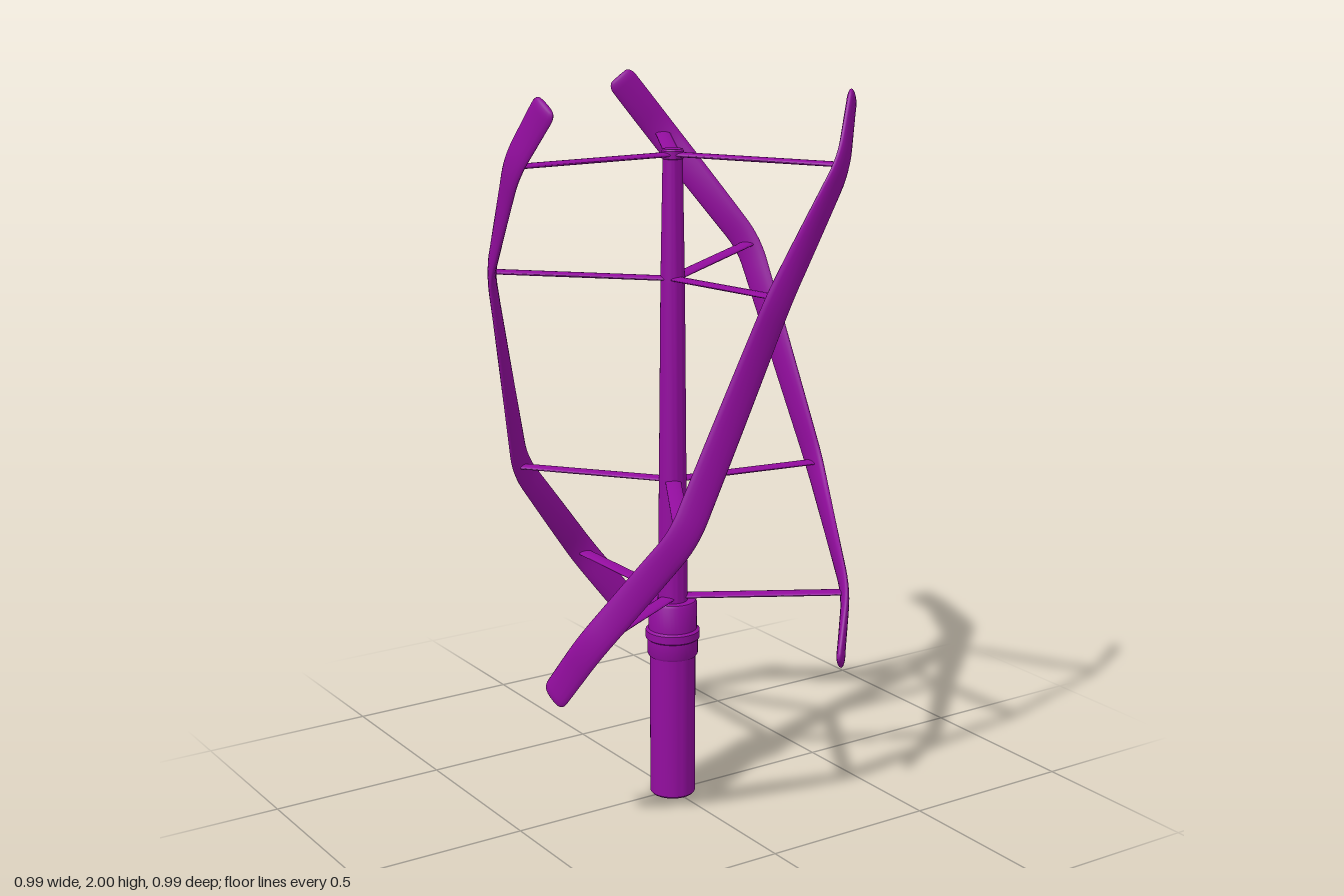
import * as THREE from 'three';
import { toCreasedNormals } from 'three/addons/utils/BufferGeometryUtils.js';

const RADIUS = 0.488;
const SIDES = 16;
// arm levels: height at the blade, height at the mast, blade angle in degrees
const LEVELS = [
  { y: 0.588, hub: 0.588, deg: 150 },
  { y: 0.903, hub: 0.925, deg: 120 },
  { y: 1.51, hub: 1.487, deg: 90 },
  { y: 1.82, hub: 1.82, deg: 60 },
];

const polar = (deg, r, y) => {
  const a = THREE.MathUtils.degToRad(deg);
  return new THREE.Vector3(r * Math.cos(a), y, r * Math.sin(a));
};

// Helical path: straight runs between the arms with softened bends
function bladePath() {
  const corners = [
    polar(165.5, 0.475, 0.418),
    ...LEVELS.map((l) => polar(l.deg, RADIUS, l.y)),
    polar(44.5, 0.475, 1.986),
  ];
  const path = new THREE.CurvePath();
  let from = corners[0];
  for (let i = 1; i < corners.length - 1; i++) {
    const c = corners[i];
    const before = c.clone().add(corners[i - 1].clone().sub(c).setLength(0.06));
    const after = c.clone().add(corners[i + 1].clone().sub(c).setLength(0.06));
    path.add(new THREE.LineCurve3(from, before));
    path.add(new THREE.QuadraticBezierCurve3(before, c, after));
    from = after;
  }
  path.add(new THREE.LineCurve3(from, corners[corners.length - 1]));
  return path;
}

// Flat lens-shaped section swept along the path, rounded off at both tips
function bladeGeometry() {
  const path = bladePath();
  const length = path.getLength();
  const tip = 0.028;
  const stops = [];
  for (let i = 0; i <= 6; i++) stops.push(tip * (1 - Math.cos((i / 6) * Math.PI / 2)));
  const n = 90;
  for (let i = 1; i < n; i++) stops.push(tip + ((length - 2 * tip) * i) / n);
  for (let i = 6; i >= 0; i--) stops.push(length - stops[i]);

  const pos = [];
  const index = [];
  stops.forEach((s, i) => {
    const p = path.getPointAt(s / length);
    const t = path.getTangentAt(Math.min(0.9999, Math.max(0.0001, s / length)));
    const out = new THREE.Vector3(p.x, 0, p.z).normalize();
    const chord = t.clone().cross(out).normalize();
    const normal = chord.clone().cross(t);
    const e = 1 - Math.min(1, Math.min(s, length - s) / tip);
    const round = Math.sqrt(Math.max(0, 1 - e * e));
    // blunt tip: the width stays broad until the closing ring
    const closed = i === 0 || i === stops.length - 1;
    const w = closed ? 0 : 0.042 * (0.55 + 0.45 * round);
    const h = closed ? 0 : 0.012 * (0.3 + 0.7 * round);
    for (let j = 0; j < SIDES; j++) {
      const a = (j / SIDES) * Math.PI * 2;
      const v = p.clone().addScaledVector(chord, w * Math.cos(a)).addScaledVector(normal, h * Math.sin(a));
      pos.push(v.x, v.y, v.z);
      if (i < stops.length - 1) {
        const k = (j + 1) % SIDES;
        const a0 = i * SIDES + j, b0 = i * SIDES + k;
        index.push(a0, a0 + SIDES, b0, b0, a0 + SIDES, b0 + SIDES);
      }
    }
  });
  const g = new THREE.BufferGeometry();
  g.setAttribute('position', new THREE.Float32BufferAttribute(pos, 3));
  g.setIndex(index);
  g.computeVertexNormals();
  return g;
}

// Flattened rod from the mast to a blade
function armMesh(level, material) {
  const a = polar(level.deg, 0.015, level.hub);
  const b = polar(level.deg, RADIUS - 0.004, level.y);
  const g = new THREE.CylinderGeometry(1, 1, a.distanceTo(b), 14);
  g.scale(0.022, 1, 0.0065);
  const along = b.clone().sub(a).normalize();
  const side = new THREE.Vector3(0, 1, 0).cross(along).normalize();
  const m = new THREE.Matrix4().makeBasis(side, along, side.clone().cross(along));
  m.setPosition(a.add(b).multiplyScalar(0.5));
  g.applyMatrix4(m);
  const mesh = new THREE.Mesh(g, material);
  mesh.name = 'arm';
  return mesh;
}

function lathe(name, profile, material) {
  const points = profile.map(([r, y]) => new THREE.Vector2(r, y));
  const mesh = new THREE.Mesh(toCreasedNormals(new THREE.LatheGeometry(points, 40), 0.6), material);
  mesh.name = name;
  return mesh;
}

export function createModel() {
  const model = new THREE.Group();
  model.name = 'verticalWindTurbine';
  const material = new THREE.MeshStandardMaterial({ color: 0x930d9f });

  // fixed base tube
  model.add(lathe('base', [[0, 0], [0.06, 0], [0.064, 0.005], [0.064, 0.42], [0, 0.42]], material));
  // bearing housing with its raised ring
  model.add(lathe('bearing', [
    [0, 0.415], [0.067, 0.415], [0.071, 0.422], [0.071, 0.464], [0.076, 0.468], [0.076, 0.49],
    [0.068, 0.495], [0.068, 0.57], [0.064, 0.577], [0, 0.577],
  ], material));
  // tapered mast with a small cap
  model.add(lathe('mast', [
    [0, 0.57], [0.042, 0.57], [0.038, 0.93], [0.033, 1.48], [0.027, 1.808],
    [0.03, 1.81], [0.03, 1.83], [0.026, 1.835], [0, 1.835],
  ], material));

  // three identical blades, each with its four arms
  const blade = bladeGeometry();
  for (let i = 0; i < 3; i++) {
    const wing = new THREE.Group();
    wing.name = 'bladeWithArms';
    const mesh = new THREE.Mesh(blade, material);
    mesh.name = 'blade';
    wing.add(mesh, ...LEVELS.map((l) => armMesh(l, material)));
    wing.rotation.y = (i * Math.PI * 2) / 3;
    model.add(wing);
  }
  return model;
}
